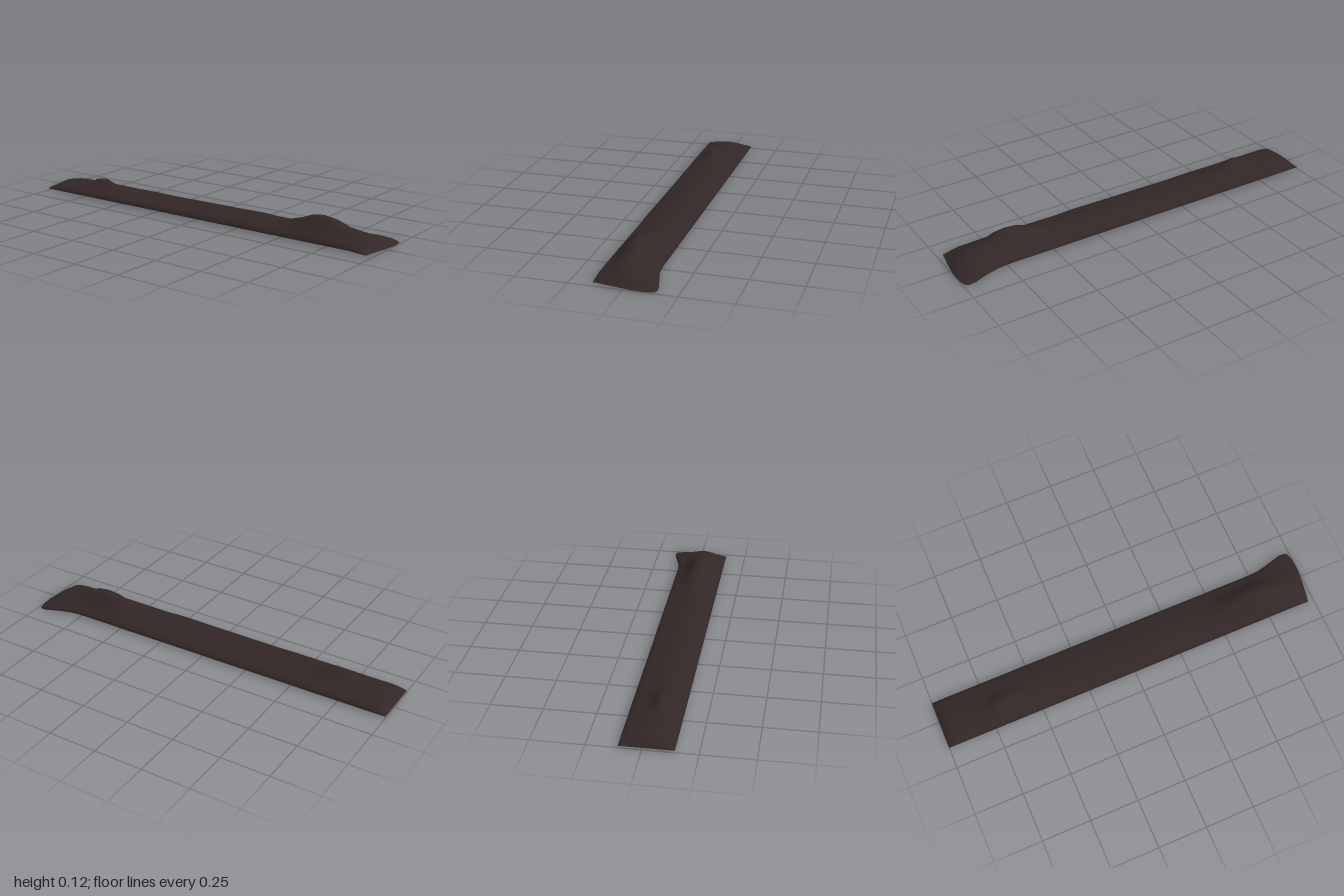
import * as THREE from 'three';

// Linear lookup through a short list of [position, value] pairs
function lookup(points, t) {
  if (t <= points[0][0]) return points[0][1];
  for (let i = 1; i < points.length; i++) {
    const [a, va] = points[i - 1], [b, vb] = points[i];
    if (t <= b) return va + (vb - va) * (t - a) / (b - a);
  }
  return points[points.length - 1][1];
}

// Stations along the length: x, height of the plain sheet, extra height of the bump
const stations = [
  [-1, 0.014, 0], [-0.99, 0.03, 0], [-0.965, 0.045, 0], [-0.92, 0.053, 0], [-0.85, 0.052, 0],
  [-0.78, 0.052, 0], [-0.73, 0.055, 0.035], [-0.67, 0.055, 0.046], [-0.61, 0.054, 0.012],
  [-0.55, 0.053, 0], [-0.42, 0.055, 0], [-0.3, 0.05, 0], [-0.1, 0.054, 0], [0.1, 0.056, 0],
  [0.27, 0.06, 0], [0.35, 0.052, 0], [0.45, 0.053, 0.004], [0.5, 0.054, 0.02],
  [0.56, 0.055, 0.036], [0.62, 0.055, 0.06], [0.68, 0.055, 0.067], [0.74, 0.055, 0.058],
  [0.8, 0.054, 0.031], [0.85, 0.052, 0.024], [0.9, 0.05, 0.019], [0.95, 0.04, 0.007],
  [0.98, 0.026, 0], [1, 0.01, 0],
];

// Cross-section from the front hem to the back hem: z, share of the sheet height
const section = [
  [0.145, 0], [0.143, 0.22], [0.134, 0.52], [0.115, 0.66], [0.09, 0.78], [0.063, 0.92], [0.045, 0.97],
  [0.027, 1], [0.008, 0.98], [-0.012, 0.92], [-0.035, 0.82], [-0.058, 0.68], [-0.08, 0.56],
  [-0.096, 0.42], [-0.103, 0.2], [-0.105, 0],
];

// How each bump fades with distance from its middle line
const wideBump = [[0, 1], [0.037, 0.78], [0.072, 0.18], [0.1, 0]];
const narrowBump = [[0, 1], [0.02, 0.8], [0.05, 0.2], [0.07, 0]];

// Shape of the far end, seen from above
const endPull = [[-0.105, 0.012], [-0.08, 0.002], [-0.03, 0], [0.05, 0.012], [0.145, 0.03]];
const cornerFlare = [[0.78, 0], [0.86, 0.017], [0.92, 0.035], [0.96, 0.045], [0.98, 0.044], [1, 0.036]];

function drapedSheet() {
  const positions = [], index = [];
  const rows = section.length;
  stations.forEach(([x, ridge, bump], i) => {
    const hem = 0.014 - 0.006 * Math.max(0, (x - 0.9) / 0.1);
    const flare = lookup(cornerFlare, x);
    section.forEach(([z, share], j) => {
      const toBack = Math.max(0, (0.03 - z) / 0.135);
      const fade = x < 0 ? lookup(narrowBump, Math.abs(z - 0.045)) : lookup(wideBump, Math.abs(z - 0.027));
      const y = hem + (ridge - hem) * share + bump * fade - 0.1 * flare * toBack;
      const pull = lookup(endPull, z) * Math.max(0, (x - 0.8) / 0.2);
      positions.push(x - pull, Math.max(0, y), z - flare * toBack * toBack);
      if (i < stations.length - 1 && j < rows - 1) {
        const a = i * rows + j, b = a + rows;
        index.push(a, b, b + 1, a, b + 1, a + 1);
      }
    });
  });
  const geometry = new THREE.BufferGeometry();
  geometry.setAttribute('position', new THREE.Float32BufferAttribute(positions, 3));
  geometry.setIndex(index);
  geometry.computeVertexNormals();
  return geometry;
}

export function createModel() {
  const group = new THREE.Group();
  group.name = 'drapedCloth';

  const cloth = new THREE.MeshStandardMaterial({ color: 0x322626, side: THREE.DoubleSide });
  cloth.name = 'dark brown cloth';

  // Long cloth lying over two bumps, with turned-down hems and one flared corner
  const sheet = new THREE.Mesh(drapedSheet(), cloth);
  sheet.name = 'clothSheet';
  group.add(sheet);

  return group;
}
